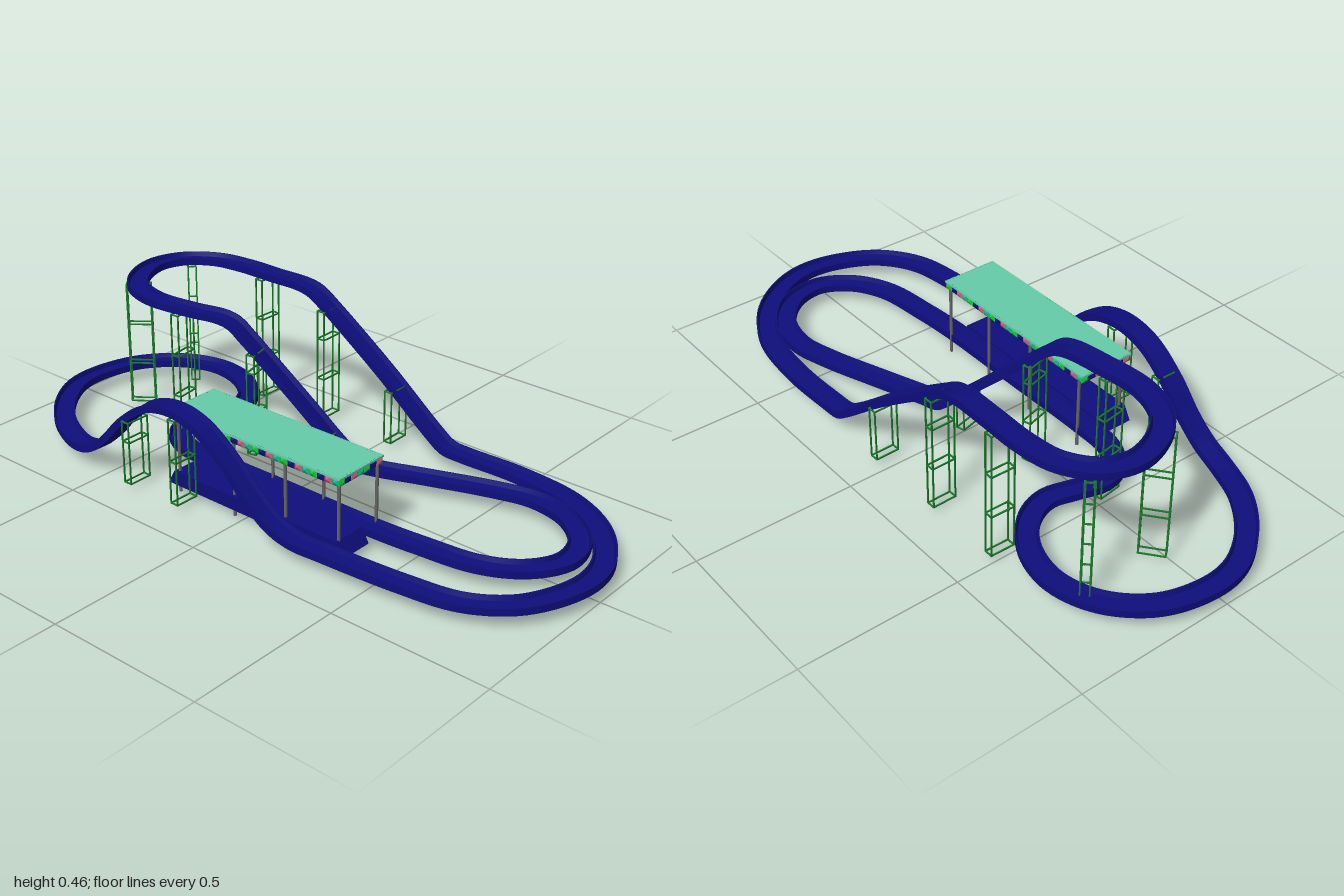
import * as THREE from 'three';
import { mergeGeometries } from 'three/addons/utils/BufferGeometryUtils.js';

const mat = (color, extra = {}) => new THREE.MeshStandardMaterial({ color, ...extra });
const NAVY = 0x0e0e7c, GREEN = 0x1c7a2c, GREY = 0x666666, TEAL = 0x66ccaa;
const LOW = 0.053, HIGH = 0.443;

// Route stretches as [x, y, z], in riding order
const level = (y, pts) => pts.map(([x, z]) => [x, y, z]);
const stretches = {
  stationAndInnerTurn: level(LOW, [[-0.25, 0.16], [0.05, 0.16], [0.37, 0.16], [0.52, 0.15], [0.7, 0.125], [0.81, 0.06],
    [0.865, -0.04], [0.84, -0.15], [0.75, -0.235], [0.62, -0.265], [0.5, -0.24], [0.3, -0.17], [0.15, -0.115]]),
  lift: [[0.1, 0.056, -0.102], [0.06, 0.085, -0.09], [-0.1, 0.24, -0.05], [-0.26, 0.395, -0.008], [-0.3, 0.43, 0.002]],
  topTurn: level(HIGH, [[-0.34, 0.012], [-0.45, 0.032], [-0.6, 0.043], [-0.71, 0.005], [-0.775, -0.07],
    [-0.805, -0.17], [-0.775, -0.26], [-0.69, -0.325], [-0.58, -0.345], [-0.45, -0.345], [-0.33, -0.346]]),
  drop: [[-0.28, 0.432, -0.347], [-0.22, 0.395, -0.348], [0, 0.24, -0.35], [0.19, 0.09, -0.353], [0.24, 0.058, -0.354]],
  outerTurn: level(LOW, [[0.3, -0.355], [0.5, -0.357], [0.7, -0.325], [0.85, -0.235], [0.945, -0.1], [0.967, 0.01],
    [0.94, 0.13], [0.88, 0.23], [0.77, 0.305], [0.6, 0.335], [0.35, 0.352], [0.25, 0.355]]),
  hill: [[0.17, 0.075], [0.1, 0.125], [0, 0.22], [-0.1, 0.287], [-0.2, 0.308], [-0.3, 0.287],
    [-0.4, 0.215], [-0.48, 0.13], [-0.55, 0.075]].map(([x, y]) => [x, y, 0.355]),
  endTurn: level(LOW, [[-0.63, 0.343], [-0.76, 0.29], [-0.87, 0.2], [-0.95, 0.08], [-0.967, -0.03], [-0.93, -0.18],
    [-0.83, -0.29], [-0.7, -0.335], [-0.57, -0.31], [-0.47, -0.23], [-0.435, -0.14], [-0.455, -0.05],
    [-0.475, 0.03], [-0.45, 0.1], [-0.37, 0.15]]),
};

// Evenly spaced frames along the closed route, kept level from side to side
function makeFrames(count) {
  const pts = Object.values(stretches).flat().map(p => new THREE.Vector3(...p));
  const spaced = new THREE.CatmullRomCurve3(pts, true, 'centripetal').getSpacedPoints(count);
  spaced.pop();
  const worldUp = new THREE.Vector3(0, 1, 0);
  return spaced.map((pos, i) => {
    const along = spaced[(i + 1) % count].clone().sub(spaced[(i + count - 1) % count]).normalize();
    const side = along.clone().cross(worldUp).normalize();
    return { pos, along, side, up: side.clone().cross(along) };
  });
}

// Sweep a shallow channel; corners are doubled so edges stay crisp
function sweepTrack(frames) {
  const section = [[-0.033, 0.012], [-0.033, -0.011], [0.033, -0.011], [0.033, 0.012],
    [0.029, 0.012], [0.025, -0.002], [-0.025, -0.002], [-0.029, 0.012]];
  const pos = [], index = [], n = frames.length, k = section.length;
  section.forEach((a, e) => {
    const b = section[(e + 1) % k], base = e * n * 2;
    frames.forEach((f, i) => {
      for (const [s, u] of [a, b]) {
        pos.push(...f.pos.clone().addScaledVector(f.side, s).addScaledVector(f.up, u).toArray());
      }
      const a0 = base + i * 2, a1 = base + ((i + 1) % n) * 2;
      index.push(a0, a1 + 1, a0 + 1, a0, a1, a1 + 1);
    });
  });
  const geo = new THREE.BufferGeometry();
  geo.setAttribute('position', new THREE.Float32BufferAttribute(pos, 3));
  geo.setIndex(index);
  geo.computeVertexNormals();
  return geo;
}

// Four thin posts tied by rectangular rings
function towerGeometry(height) {
  const w = 0.076, d = 0.026, t = 0.004, parts = [];
  const bar = (sx, sy, sz, x, y, z) => parts.push(new THREE.BoxGeometry(sx, sy, sz).translate(x, y, z));
  for (const x of [-w / 2, w / 2]) for (const z of [-d / 2, d / 2]) bar(t, height, t, x, height / 2, z);
  const rings = [height - t / 2];
  for (let y = t / 2; y < height - 0.04; y += 0.135) rings.push(y);
  for (const y of rings) for (const s of [-0.5, 0.5]) {
    bar(w, t, t, 0, y, s * d);
    bar(t, t, d, s * w, y, 0);
  }
  return mergeGeometries(parts);
}

export function createModel() {
  const model = new THREE.Group();
  const add = (name, geo, material, parent = model) => {
    const mesh = new THREE.Mesh(geo, material);
    mesh.name = name;
    parent.add(mesh);
    return mesh;
  };
  const navy = mat(NAVY), green = mat(GREEN), grey = mat(GREY), teal = mat(TEAL);

  // Track
  const frames = makeFrames(480);
  add('track', sweepTrack(frames), navy);

  // Support towers under the raised track
  const towers = [[-0.755, -0.27], [-0.745, -0.035], [-0.487, -0.345], [-0.225, -0.348], [0.045, -0.35],
    [-0.487, 0.036], [-0.235, -0.015], [0, -0.075], [-0.375, 0.355], [-0.18, 0.355]];
  for (const [x, z] of towers) {
    const near = f => Math.hypot(f.pos.x - x, f.pos.z - z) - f.pos.y * 0.2;
    const f = frames.reduce((best, g) => (near(g) < near(best) ? g : best));
    const tower = add('supportTower', towerGeometry(f.pos.y - 0.012 - 0.023), green);
    tower.position.set(f.pos.x, 0.023, f.pos.z);
    tower.rotation.y = Math.atan2(f.along.x, f.along.z);
  }

  // Station platform with sloping ends
  const profile = new THREE.Shape([[-0.29, 0.025], [0.38, 0.025], [0.355, 0.069], [-0.265, 0.069]]
    .map(p => new THREE.Vector2(...p)));
  add('platform', new THREE.ExtrudeGeometry(profile, { depth: 0.11, bevelEnabled: false }).translate(0, 0, 0.197), navy);

  // Station posts
  for (const x of [-0.255, -0.035, 0.16, 0.352]) for (const z of [0.13, 0.293]) {
    add('stationPost', new THREE.CylinderGeometry(0.005, 0.005, 0.25, 8).translate(x, 0.125, z), grey);
  }

  // Roof panel
  const roof = new THREE.Group();
  roof.name = 'stationRoof';
  roof.position.set(0.042, 0, 0.212);
  model.add(roof);
  add('roofPanel', new THREE.BoxGeometry(0.645, 0.006, 0.188).translate(0, 0.261, 0), teal, roof);

  // Rows of coloured pyramids round the roof edge
  const gem = new THREE.ConeGeometry(0.0188, 0.008, 4).rotateY(Math.PI / 4).rotateX(Math.PI / 2);
  const colours = [0x18c83a, NAVY, 0xc8607c, 0x18b888].map(c => mat(c, { flatShading: true }));
  const sides = [[24, 0.64, 0.094, 0], [7, 0.187, 0.322, 1], [24, 0.64, 0.094, 2], [7, 0.187, 0.322, 3]];
  for (const [count, length, out, quarter] of sides) {
    const row = new THREE.Group();
    row.name = 'roofFringe';
    row.rotation.y = quarter * Math.PI / 2;
    roof.add(row);
    for (let i = 0; i < count; i++) {
      add('fringePyramid', gem, colours[i % 4], row).position.set(((i + 0.5) / count - 0.5) * length, 0.251, out);
    }
  }
  return model;
}
